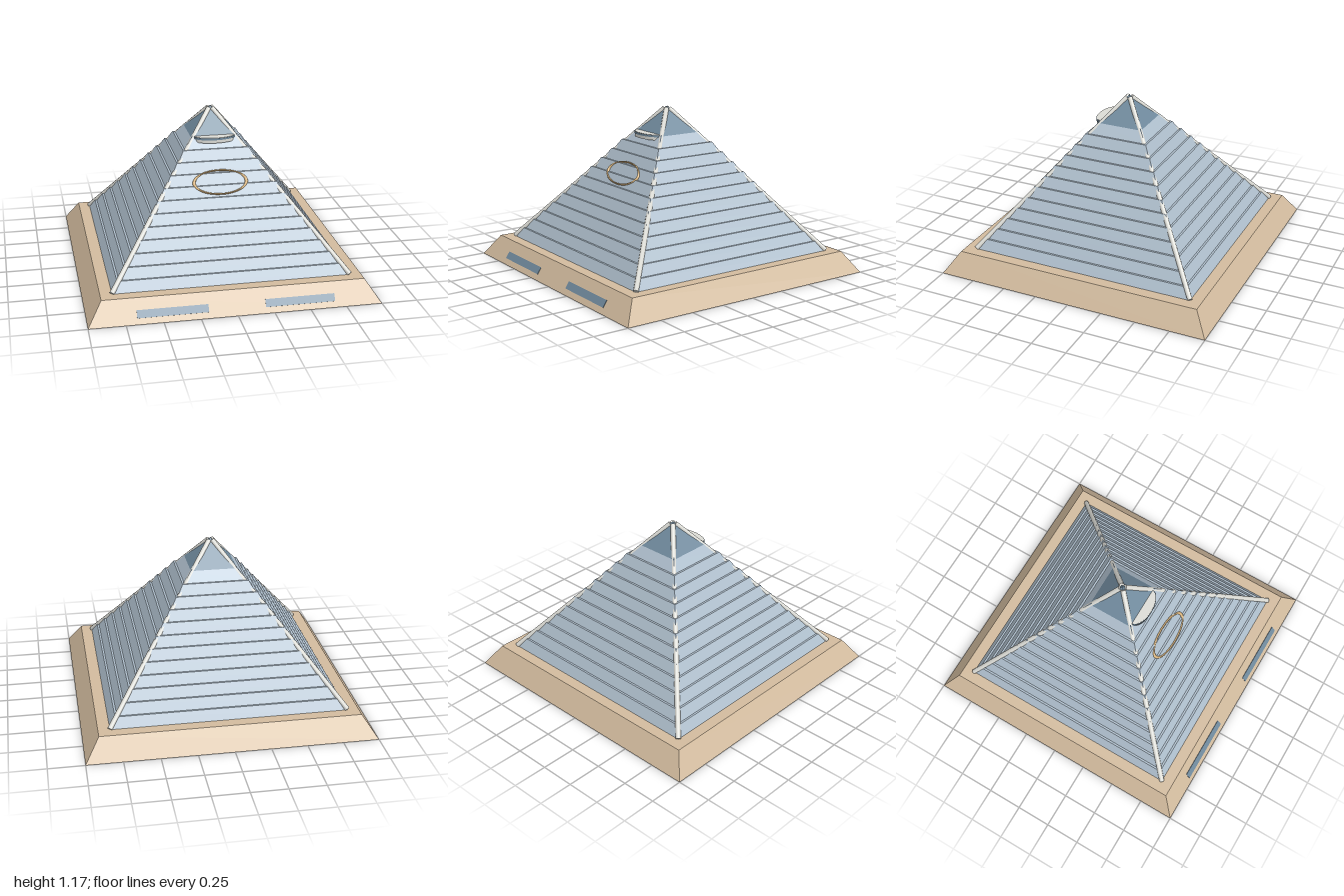
import * as THREE from 'three';

const flat = { flatShading: true, side: THREE.DoubleSide };
const mats = {
  sandstone: new THREE.MeshStandardMaterial({ color: 0xd2bb9e, ...flat }),
  paleBlueSiding: new THREE.MeshStandardMaterial({ color: 0xb0c0ce, ...flat }),
  slateGlass: new THREE.MeshStandardMaterial({ color: 0x708a9d, ...flat }),
  offWhite: new THREE.MeshStandardMaterial({ color: 0xdcdcd6 }),
  warmGold: new THREE.MeshStandardMaterial({ color: 0xdcb780 }),
};

// Square shell from [half width, height] points, bottom to top
function squareShell(profile) {
  const points = profile.map(([half, y]) => new THREE.Vector2(half * Math.SQRT2, y));
  const geo = new THREE.LatheGeometry(points, 4, Math.PI / 4).toNonIndexed();
  geo.computeVertexNormals();
  return geo;
}

export function createModel() {
  const model = new THREE.Group();
  const add = (name, geo, mat, x = 0, y = 0, z = 0) => {
    const mesh = new THREE.Mesh(geo, mat);
    mesh.name = name;
    mesh.position.set(x, y, z);
    model.add(mesh);
    return mesh;
  };

  // Hollow base: sloping walls and the ledge around the pyramid
  add('base', squareShell([[1, 0], [0.9, 0.15], [0.815, 0.15]]), mats.sandstone);

  // Stepped siding: twelve courses, each ending in a narrow ledge
  const courses = 12, y0 = 0.15, y1 = 0.99, h0 = 0.82, h1 = 0.166;
  const steps = [];
  for (let i = 0; i < courses; i++) {
    const half = (k) => h0 + (h1 - h0) * k / courses;
    steps.push([half(i), y0 + (y1 - y0) * i / courses]);
    steps.push([half(i + 1) + (i < courses - 1 ? 0.014 : 0), y0 + (y1 - y0) * (i + 1) / courses]);
  }
  add('siding', squareShell(steps), mats.paleBlueSiding);

  // Glazed tip
  add('tip', squareShell([[h1, y1], [0, 1.172]]), mats.slateGlass);

  // Corner ribs
  for (const sx of [-1, 1]) for (const sz of [-1, 1]) {
    const a = new THREE.Vector3(0.82 * sx, 0.155, 0.82 * sz);
    const b = new THREE.Vector3(0.012 * sx, 1.155, 0.012 * sz);
    const dir = b.clone().sub(a);
    const rib = add('cornerRib', new THREE.CylinderGeometry(0.018, 0.018, dir.length(), 8), mats.offWhite);
    rib.position.copy(a).add(b).multiplyScalar(0.5);
    rib.quaternion.setFromUnitVectors(new THREE.Vector3(0, 1, 0), dir.normalize());
  }

  // Half-round balcony on the front: pale floor, dark band, pale top
  const balcony = (name, r, bottom, top, mat) => {
    const geo = new THREE.CylinderGeometry(r, r, top - bottom, 32, 1, false, -Math.PI / 2, Math.PI);
    geo.scale(1, 1, 0.5);
    add(name, geo, mat, 0, (top + bottom) / 2, 0.16);
  };
  balcony('balconyFloor', 0.138, 0.96, 0.983, mats.offWhite);
  balcony('balconyBand', 0.145, 0.983, 0.996, mats.slateGlass);
  balcony('balconyTop', 0.14, 0.996, 0.999, mats.offWhite);

  // Oval ring lying on the front slope
  const ring = add('ovalRing', new THREE.TorusGeometry(0.185, 0.011, 10, 64), mats.warmGold, 0, 0.725, 0.377);
  ring.rotation.x = -Math.atan2(h0 - h1, y1 - y0);
  ring.scale.y = 0.47;

  // Two strip windows on the front wall of the base
  for (const side of [-1, 1]) {
    const win = add('baseWindow', new THREE.BoxGeometry(0.48, 0.054, 0.006), mats.slateGlass,
      0.434 * side, 0.058, 1 - 0.058 * (0.1 / 0.15));
    win.rotation.x = -Math.atan2(0.1, 0.15);
  }

  return model;
}
